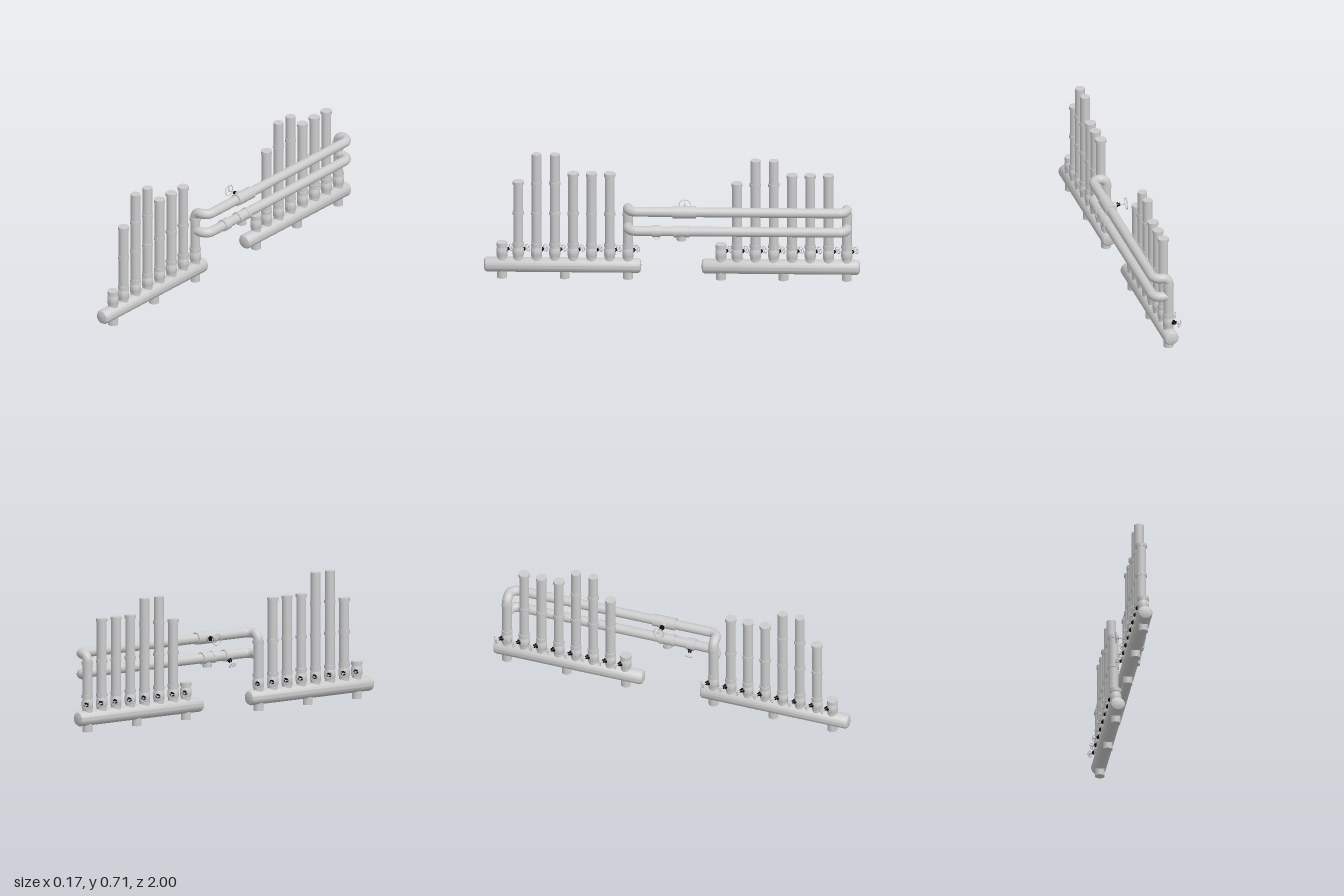
import * as THREE from 'three';
import { toCreasedNormals } from 'three/addons/utils/BufferGeometryUtils.js';

const grey = new THREE.MeshStandardMaterial({ color: 0xcccccc });
const black = new THREE.MeshStandardMaterial({ color: 0x0a0a0a });
const X = -0.026;      // plane of the headers and risers
const LOOP_X = 0.053;  // plane of the long connecting pipes
const R = 0.0262;      // pipe radius
const V = (x, y, z) => new THREE.Vector3(x, y, z);

function add(parent, name, geometry, material = grey) {
  const mesh = new THREE.Mesh(geometry, material);
  mesh.name = name;
  parent.add(mesh);
  return mesh;
}

// Turned part along local y from [radius, y] pairs
function turned(profile, segments = 28) {
  const points = profile.map(([r, y]) => new THREE.Vector2(r, y));
  return toCreasedNormals(new THREE.LatheGeometry(points, segments), 0.6);
}

function cylinder(parent, name, r, y0, y1, material) {
  const mesh = add(parent, name, new THREE.CylinderGeometry(r, r, y1 - y0, 28), material);
  mesh.position.y = (y0 + y1) / 2;
  return mesh;
}

// Handwheel with black bonnet and stem; starts at the pipe axis and points along dir
function handwheel(parent, position, dir, length, radius) {
  const g = new THREE.Group();
  g.name = 'handwheel';
  cylinder(g, 'bonnet', 0.013, 0.02, 0.034, black);
  cylinder(g, 'bonnetNut', 0.009, 0.034, 0.046, black);
  cylinder(g, 'stem', 0.0035, 0.04, length + 0.004);
  const rim = add(g, 'wheelRim', new THREE.TorusGeometry(radius - 0.002, 0.002, 6, 24));
  rim.rotation.x = Math.PI / 2;
  rim.position.y = length;
  for (let i = 0; i < 3; i++) {
    const a = (i * Math.PI * 2) / 3;
    const spoke = add(g, 'wheelSpoke', new THREE.BoxGeometry(radius - 0.002, 0.002, 0.003));
    spoke.position.set(Math.cos(a) * radius / 2, length, Math.sin(a) * radius / 2);
    spoke.rotation.y = -a;
  }
  g.position.copy(position);
  g.quaternion.setFromUnitVectors(V(0, 1, 0), dir.clone().normalize());
  parent.add(g);
}

// Vertical riser with valve, collars and handwheel
function riser(parent, z, top, collars) {
  const g = new THREE.Group();
  g.name = 'riser';
  g.position.set(X, 0, z);
  cylinder(g, 'riserPipe', R, 0.08, top);
  add(g, 'riserValveBody', turned([
    [R, 0.122], [0.0285, 0.122], [0.0285, 0.128], [0.03, 0.132],
    [0.03, 0.163], [0.0285, 0.168], [R, 0.174],
  ]));
  for (const y of collars) cylinder(g, 'collar', 0.03, y - 0.018, y);
  handwheel(g, V(0, 0.15, 0), V(-1, 0, -1), 0.067, 0.02);
  parent.add(g);
}

// Header with rounded ends, feet and a row of risers running towards -z
function manifold(name, zStart, zEnd, zFirst, tallTop) {
  const g = new THREE.Group();
  g.name = name;
  const r = 0.04, h = (zStart - zEnd) / 2;
  const header = add(g, 'header', turned([
    [0, -h], [r * 0.6, -h + 0.002], [r * 0.85, -h + 0.006], [r, -h + 0.016],
    [r, h - 0.016], [r * 0.85, h - 0.006], [r * 0.6, h - 0.002], [0, h],
  ], 36));
  header.rotation.x = Math.PI / 2;
  header.position.set(X, 0.0735, (zStart + zEnd) / 2);

  for (const dz of [0, 0.333, 0.669]) {
    cylinder(g, 'foot', R, 0, 0.06).position.set(X, 0.03, zFirst - dz);
  }
  const tops = [0.2, 0.55, tallTop, tallTop, 0.6, 0.6, 0.6, 0.378];
  tops.forEach((top, i) => {
    const collars = [0.2, 0.378, 0.55].filter((y) => y <= top && !(top === 0.6 && y === 0.55));
    if (top === 0.6) collars.push(0.6);
    const z = zFirst - (i === 0 ? 0 : 0.086 + (i - 1) * 0.0972);
    riser(g, z, top, collars);
  });
  return g;
}

// Path through corner points with rounded bends; radii match the inner corners
function bentPath(corners, radii) {
  const path = new THREE.CurvePath();
  let from = corners[0];
  for (let i = 1; i < corners.length - 1; i++) {
    const c = corners[i], r = radii[i - 1], k = r * 0.4477;
    const a = corners[i - 1].clone().sub(c).normalize();
    const b = corners[i + 1].clone().sub(c).normalize();
    const at = (d, s) => c.clone().addScaledVector(d, s);
    if (from.distanceTo(at(a, r)) > 1e-4) path.add(new THREE.LineCurve3(from, at(a, r)));
    path.add(new THREE.CubicBezierCurve3(at(a, r), at(a, k), at(b, k), at(b, r)));
    from = at(b, r);
  }
  path.add(new THREE.LineCurve3(from, corners[corners.length - 1]));
  return path;
}

// Each path piece becomes its own tube, so bends are fine and straights are cheap
function pipe(parent, name, path) {
  for (const piece of path.curves) {
    const steps = piece.isLineCurve3 ? 1 : 14;
    add(parent, name, new THREE.TubeGeometry(piece, steps, R, 24, false));
  }
}

// Sleeve around a connecting pipe, centred on z
function sleeve(parent, name, y, z, length, r) {
  const mesh = add(parent, name, new THREE.CylinderGeometry(r, r, length, 28));
  mesh.rotation.x = Math.PI / 2;
  mesh.position.set(LOOP_X, y, z);
}

export function createModel() {
  const model = new THREE.Group();
  model.name = 'pipeManifolds';
  model.add(manifold('frontManifold', 1, 0.163, 0.903, 0.706));
  model.add(manifold('backManifold', -0.157, -1, -0.26, 0.68));

  const z0 = 0.233, z1 = -0.929, upper = 0.412, lower = 0.302;

  // Upper connecting pipe rises out of both end risers
  pipe(model, 'upperPipe', bentPath([
    V(X, 0.36, z0), V(X, upper, z0), V(LOOP_X, upper, z0),
    V(LOOP_X, upper, z1), V(X, upper, z1), V(X, 0.36, z1),
  ], [0.034, 0.045, 0.045, 0.034]));

  // Lower connecting pipe branches sideways off the risers
  pipe(model, 'lowerPipe', bentPath([
    V(X, lower, z0), V(LOOP_X, lower, z0), V(LOOP_X, lower, z1), V(X, lower, z1),
  ], [0.045, 0.045]));

  // Upper valve
  sleeve(model, 'upperValveBody', upper, -0.067, 0.125, 0.033);
  const branch = add(model, 'upperValveBranch', new THREE.CylinderGeometry(0.017, 0.017, 0.03, 24));
  branch.rotation.z = Math.PI / 2;
  branch.position.set(LOOP_X - 0.03, upper, -0.067);
  handwheel(model, V(LOOP_X - 0.02, upper, -0.067), V(-1, 0, 0), 0.082, 0.032);

  // Lower valve
  sleeve(model, 'lowerValveBody', lower, 0.082, 0.045, 0.032);
  handwheel(model, V(LOOP_X, lower, 0.082), V(-1, -1, 0), 0.068, 0.02);

  // Tee with a capped outlet underneath
  sleeve(model, 'teeBody', lower, -0.052, 0.06, 0.0295);
  sleeve(model, 'teeCollar', lower, -0.018, 0.016, 0.032);
  sleeve(model, 'teeCollar', lower, -0.086, 0.016, 0.032);
  cylinder(model, 'teeOutlet', 0.022, 0.253, lower).position.set(LOOP_X, 0.278, -0.052);
  cylinder(model, 'teeCap', 0.025, 0.253, 0.27).position.set(LOOP_X, 0.2615, -0.052);
  return model;
}
